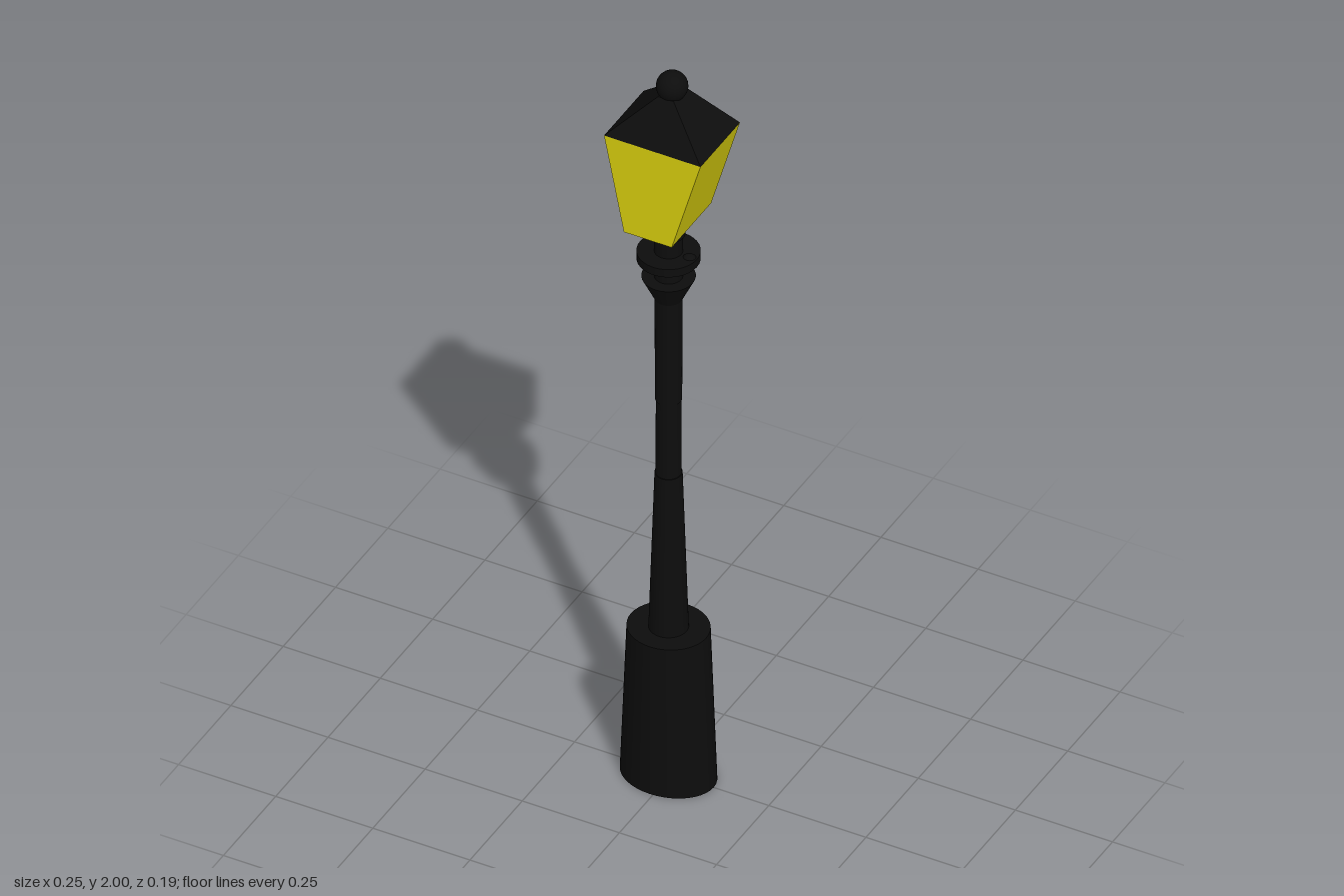
import * as THREE from 'three';

const POST_X = -0.008;

export function createModel() {
  const model = new THREE.Group();
  const iron = new THREE.MeshStandardMaterial({ color: 0x0d0d0d });
  iron.name = 'black iron';
  const glass = new THREE.MeshStandardMaterial({ color: 0xdcd20e });
  glass.name = 'yellow glass';

  function add(name, geometry, material, x, y, z = 0) {
    const mesh = new THREE.Mesh(geometry, material);
    mesh.name = name;
    mesh.position.set(x, y, z);
    model.add(mesh);
    return mesh;
  }

  // Round section of the post between two heights
  function section(name, y0, y1, r0, r1) {
    return add(name, new THREE.CylinderGeometry(r1, r0, y1 - y0, 32), iron, POST_X, (y0 + y1) / 2);
  }

  // Four-sided block whose top and bottom are [x0, x1, z0, z1] rectangles
  function taperedBlock(y0, y1, bottom, top) {
    const box = new THREE.BoxGeometry(1, 1, 1).toNonIndexed();
    const p = box.attributes.position;
    for (let i = 0; i < p.count; i++) {
      const up = p.getY(i) > 0;
      const r = up ? top : bottom;
      p.setXYZ(i, p.getX(i) < 0 ? r[0] : r[1], up ? y1 : y0, p.getZ(i) < 0 ? r[2] : r[3]);
    }
    box.computeVertexNormals();
    return box;
  }

  // Base: circular at mid height, tapering only across its width
  const baseGeometry = new THREE.CylinderGeometry(1, 1, 0.42, 40);
  const bp = baseGeometry.attributes.position;
  for (let i = 0; i < bp.count; i++) {
    bp.setX(i, bp.getX(i) * (bp.getY(i) > 0 ? 0.097 : 0.116));
    bp.setZ(i, bp.getZ(i) * 0.09);
  }
  baseGeometry.computeVertexNormals();
  add('base', baseGeometry, iron, POST_X, 0.21);

  // Post
  section('lowerPost', 0.42, 0.86, 0.046, 0.032);
  section('middlePost', 0.86, 1.07, 0.03, 0.029);
  section('upperPost', 1.07, 1.37, 0.031, 0.032);
  section('flaredCollar', 1.355, 1.42, 0.031, 0.062);
  section('neck', 1.42, 1.55, 0.033, 0.033);
  section('ringPlate', 1.47, 1.492, 0.073, 0.073);
  section('lanternSocket', 1.54, 1.585, 0.038, 0.038);

  // Small knob on the ring plate
  const knob = add('knob', new THREE.SphereGeometry(0.017, 16, 10), iron, 0.046, 1.482);
  knob.scale.set(1.1, 1, 1);

  // Lantern glass and roof
  const eaves = [-0.124, 0.124, -0.096, 0.093];
  add('lanternGlass', taperedBlock(1.583, 1.84, [-0.073, 0.05, -0.096, 0.093], eaves), glass, 0, 0);
  add('roof', taperedBlock(1.84, 1.945, eaves, [-0.02, 0.02, -0.032, 0.028]), iron, 0, 0);
  add('finial', new THREE.SphereGeometry(0.037, 28, 18), iron, 0, 1.963, -0.002);

  return model;
}
